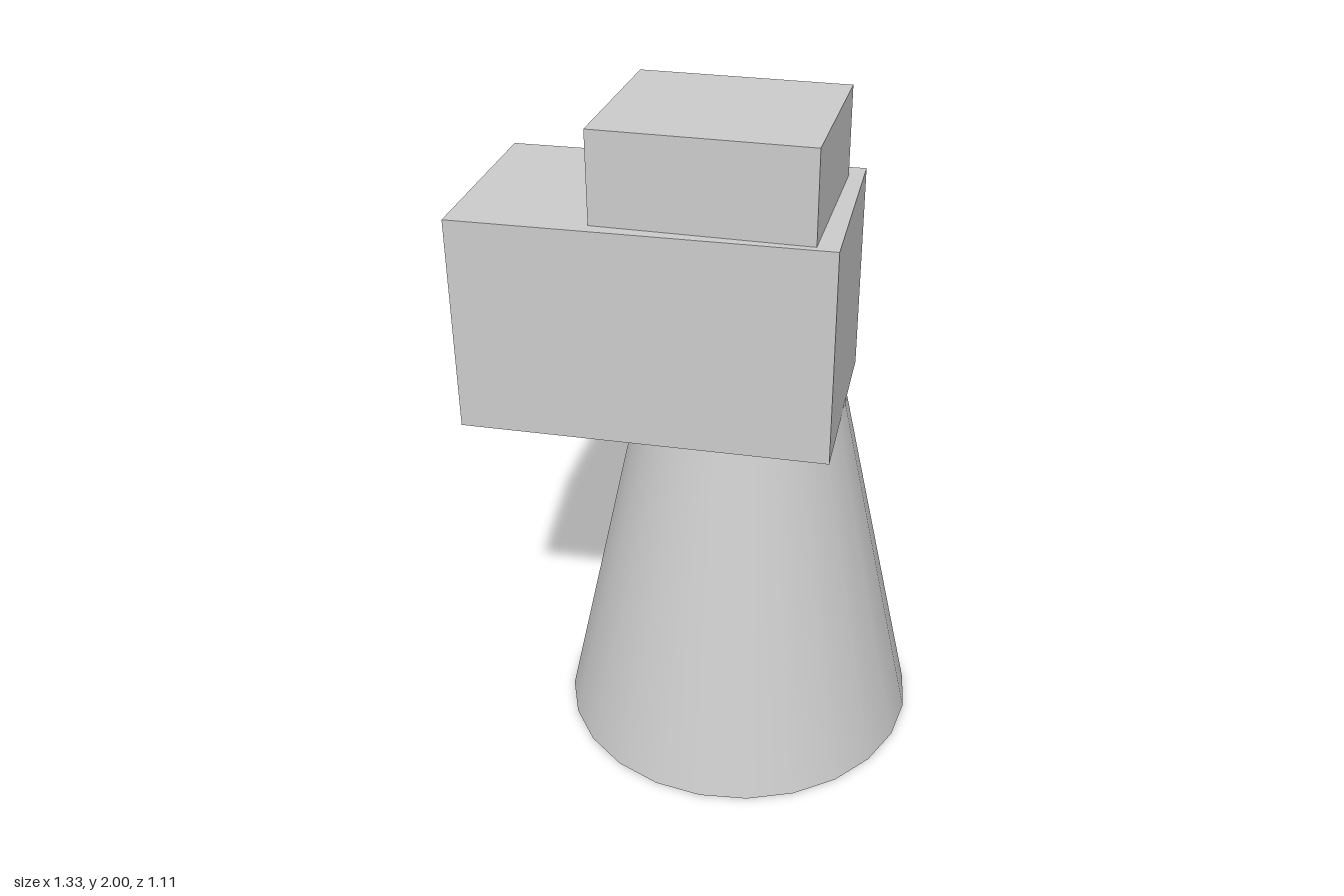
import * as THREE from 'three';

export function createModel() {
  const model = new THREE.Group();
  const material = new THREE.MeshStandardMaterial({ color: 0xcccccc });

  const add = (name, geometry, x, y, z, turn = 0) => {
    const mesh = new THREE.Mesh(geometry, material);
    mesh.name = name;
    mesh.position.set(x, y, z);
    mesh.rotation.y = turn;
    model.add(mesh);
  };

  // Tapered round base, smooth around its 24 sides
  const baseHeight = 1.11;
  add('taperedBase', new THREE.CylinderGeometry(0.31, 0.553, baseHeight, 24), 0.108, baseHeight / 2, 0);

  // Wide block, overhanging the right side and turned slightly
  add('mainBlock', new THREE.BoxGeometry(1.069, 0.635, 0.62), -0.12, 1.4175, 0.037, 0.033);

  // Smaller block on top, square to the axes
  add('topBlock', new THREE.BoxGeometry(0.615, 0.265, 0.532), 0.055, 1.8675, 0.045);

  return model;
}
